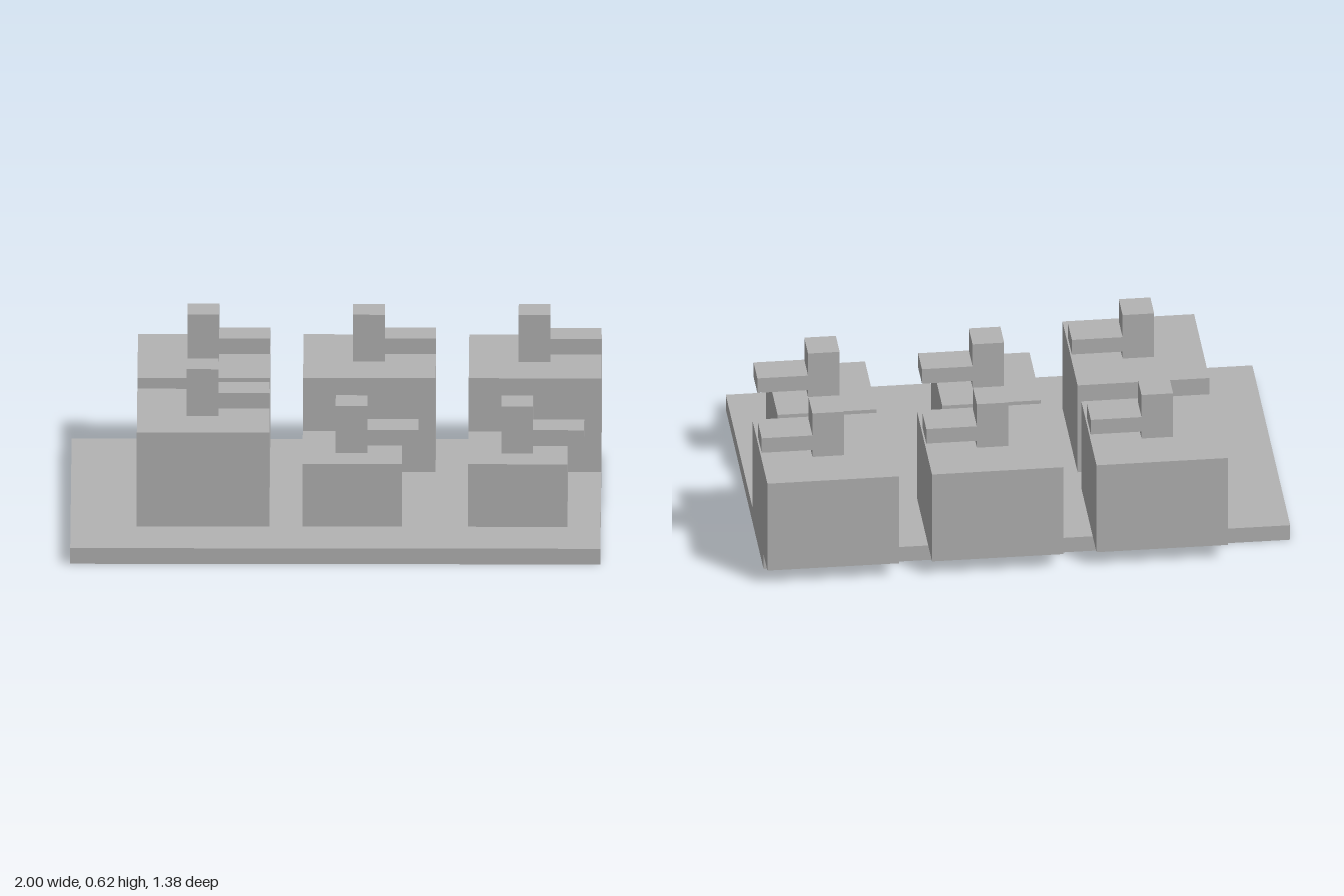
import * as THREE from 'three';

export function createModel() {
  const model = new THREE.Group();
  const grey = new THREE.MeshStandardMaterial({ color: 0xb3b3b3 });
  grey.name = 'plain grey';

  // Box given by its lowest corner and its size
  function box(parent, name, [x, y, z], [w, h, d]) {
    const mesh = new THREE.Mesh(new THREE.BoxGeometry(w, h, d), grey);
    mesh.name = name;
    mesh.position.set(x + w / 2, y + h / 2, z + d / 2);
    parent.add(mesh);
  }

  // Block with an upright post and a side arm on its top
  function station(name, x, z, size, height, postX, postZ) {
    const group = new THREE.Group();
    group.name = name;
    group.position.set(x, 0.0625, z);
    box(group, 'block', [0, 0, 0], [size, height, size]);
    box(group, 'post', [postX, height, postZ], [0.12, 0.1875, 0.125]);
    box(group, 'arm', [postX + 0.12, height + 0.03, postZ], [0.1925, 0.0625, 0.125]);
    model.add(group);
  }

  box(model, 'basePlate', [-1, 0, -0.5625], [2, 0.0625, 1.25]);

  // Back row of large blocks overhanging the plate
  [-0.75, -0.125, 0.5].forEach((x, i) =>
    station('backBlock' + (i + 1), x, -0.6875, 0.5, 0.375, 0.1875, 0.1875));

  // Front row: one large and two small blocks
  station('frontLargeBlock', -0.75, -0.0625, 0.5, 0.375, 0.1875, 0.1875);
  [-0.125, 0.5].forEach((x, i) =>
    station('frontSmallBlock' + (i + 1), x, 0.0625, 0.375, 0.25, 0.125, 0.125));

  return model;
}
